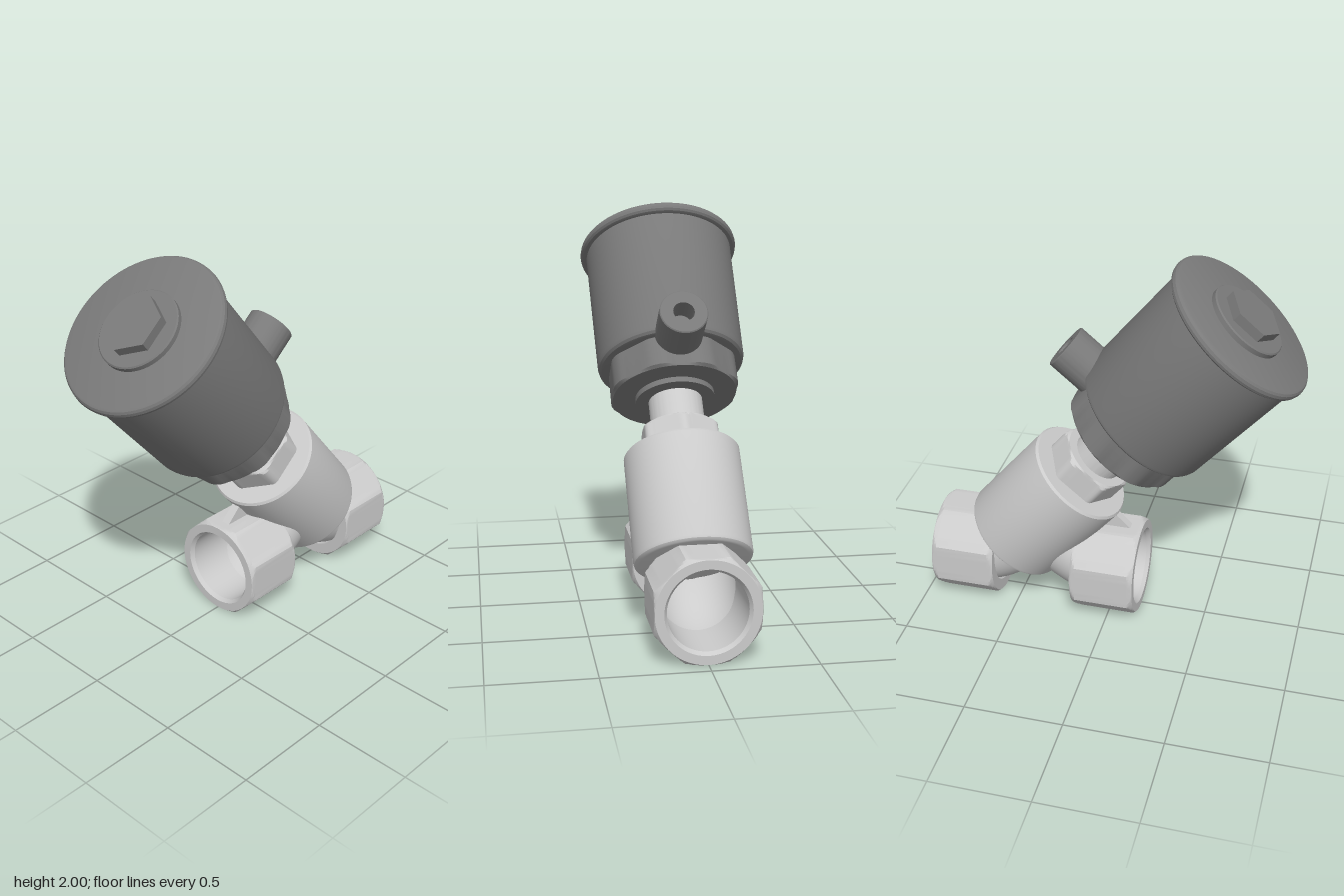
import * as THREE from 'three';
import { toCreasedNormals } from 'three/addons/utils/BufferGeometryUtils.js';

const steel = new THREE.MeshStandardMaterial({ color: 0xcccccc });
const pipeSteel = new THREE.MeshStandardMaterial({ color: 0xcccccc, side: THREE.DoubleSide });
const dark = new THREE.MeshStandardMaterial({ color: 0x7a7a7a });

// Turned part around y; with "sides" the flats of a prism are cut into it
function turned(name, material, profile, sides = 0, apothem = 0) {
  const points = profile.map(([r, y]) => new THREE.Vector2(r, y));
  const geometry = new THREE.LatheGeometry(points, 96);
  if (sides) {
    const pos = geometry.attributes.position;
    const step = (Math.PI * 2) / sides;
    for (let i = 0; i < pos.count; i++) {
      const x = pos.getX(i), z = pos.getZ(i);
      const r = Math.hypot(x, z);
      if (r < 1e-6) continue;
      // angle from the nearest flat; one flat always faces +x
      const a = Math.atan2(z, x);
      const off = a - Math.round(a / step) * step;
      const k = Math.min(r, apothem / Math.cos(off)) / r;
      pos.setX(i, x * k);
      pos.setZ(i, z * k);
    }
  }
  const mesh = new THREE.Mesh(toCreasedNormals(geometry, 0.4), material);
  mesh.name = name;
  return mesh;
}

// Octagonal threaded end with chamfered corners and a through bore
function pipeEnd(name, zMin, zMax, outward) {
  const h = zMax - zMin;
  const bore = 0.188, mouth = 0.202;
  const chamfer = [[0.245, 0], [0.25, 0.006], [0.256, 0.014], [0.266, 0.028]];
  const profile = [
    [bore, 0], ...chamfer,
    ...chamfer.slice().reverse().map(([r, y]) => [r, h - y]),
    [mouth, h], [bore, h - 0.02], [bore, 0],
  ];
  const mesh = turned(name, steel, profile, 8, 0.247);
  mesh.rotation.x = outward * Math.PI / 2;
  mesh.position.set(0, 0.25, outward > 0 ? zMin : zMax);
  return mesh;
}

// Bent pipe through three [y, z] points
function elbow(name, radius, ...pts) {
  const path = new THREE.QuadraticBezierCurve3(...pts.map(([y, z]) => new THREE.Vector3(0, y, z)));
  const mesh = new THREE.Mesh(new THREE.TubeGeometry(path, 24, radius, 48), pipeSteel);
  mesh.name = name;
  return mesh;
}

export function createModel() {
  const model = new THREE.Group();
  model.name = 'angleSeatValve';

  // Pipe ends and the bends leading into the sleeve
  model.add(
    pipeEnd('frontPipeEnd', -0.18, 0.155, 1),
    pipeEnd('rearPipeEnd', -0.935, -0.60, -1),
    elbow('frontElbow', 0.195, [0.25, 0], [0.25, -0.12], [0.41, -0.31]),
    elbow('rearElbow', 0.2, [0.25, -0.75], [0.25, -0.626], [0.37, -0.525]),
  );

  // Thin rib between front pipe end and sleeve
  const ribShape = new THREE.Shape([[-0.1, 0.49], [0.1, 0.4], [0.1, 0.45], [-0.01, 0.577]]
    .map(([x, y]) => new THREE.Vector2(x, y)));
  const ribGeometry = new THREE.ExtrudeGeometry(ribShape, { depth: 0.046, bevelEnabled: false });
  ribGeometry.translate(0, 0, -0.023).rotateY(Math.PI / 2);
  const rib = new THREE.Mesh(ribGeometry, steel);
  rib.name = 'rib';
  model.add(rib);

  // Everything on the tilted axis
  const upper = new THREE.Group();
  upper.name = 'tiltedAssembly';
  upper.position.set(0, 0.355, -0.538);
  upper.rotation.x = THREE.MathUtils.degToRad(40);
  model.add(upper);

  upper.add(
    turned('sleeve', steel, [
      [0, 0], [0.262, 0], [0.273, 0.004], [0.282, 0.012], [0.286, 0.025],
      [0.286, 0.562], [0.276, 0.574], [0, 0.574],
    ]),
    turned('bonnetNut', steel, [
      [0, 0.56], [0.205, 0.56], [0.205, 0.69], [0.195, 0.702], [0.182, 0.71], [0, 0.71],
    ], 6, 0.182),
    turned('stem', steel, [[0, 0.7], [0.135, 0.7], [0.135, 0.89], [0, 0.89]]),
    turned('collarRing', dark, [[0, 0.872], [0.2, 0.872], [0.2, 0.91], [0, 0.91]]),
    turned('collar', dark, [
      [0, 0.9], [0.312, 0.9], [0.328, 0.912], [0.328, 1.08], [0, 1.08],
    ], 8, 0.314),
    turned('actuatorBody', dark, [
      [0, 1.065], [0.345, 1.065], [0.358, 1.069], [0.369, 1.08], [0.374, 1.097],
      [0.385, 1.76], [0, 1.76],
    ]),
    turned('lid', dark, [
      [0, 1.755], [0.39, 1.755], [0.403, 1.76], [0.412, 1.769], [0.415, 1.782],
      [0.412, 1.797], [0.404, 1.807], [0.392, 1.812], [0, 1.812],
    ]),
    turned('lidDisc', dark, [[0, 1.8], [0.205, 1.8], [0.205, 1.836], [0.199, 1.842], [0, 1.842]]),
    turned('hexPlug', dark, [[0, 1.83], [0.15, 1.83], [0.15, 1.89], [0, 1.89]], 6, 0.128),
  );

  // Air connection on the back of the actuator
  const port = turned('airPort', dark, [
    [0, 0.28], [0.118, 0.28], [0.118, 0.512], [0.113, 0.517],
    [0.052, 0.517], [0.052, 0.4], [0, 0.4],
  ]);
  port.rotation.x = -Math.PI / 2;
  port.position.y = 1.075;
  upper.add(port);

  return model;
}
